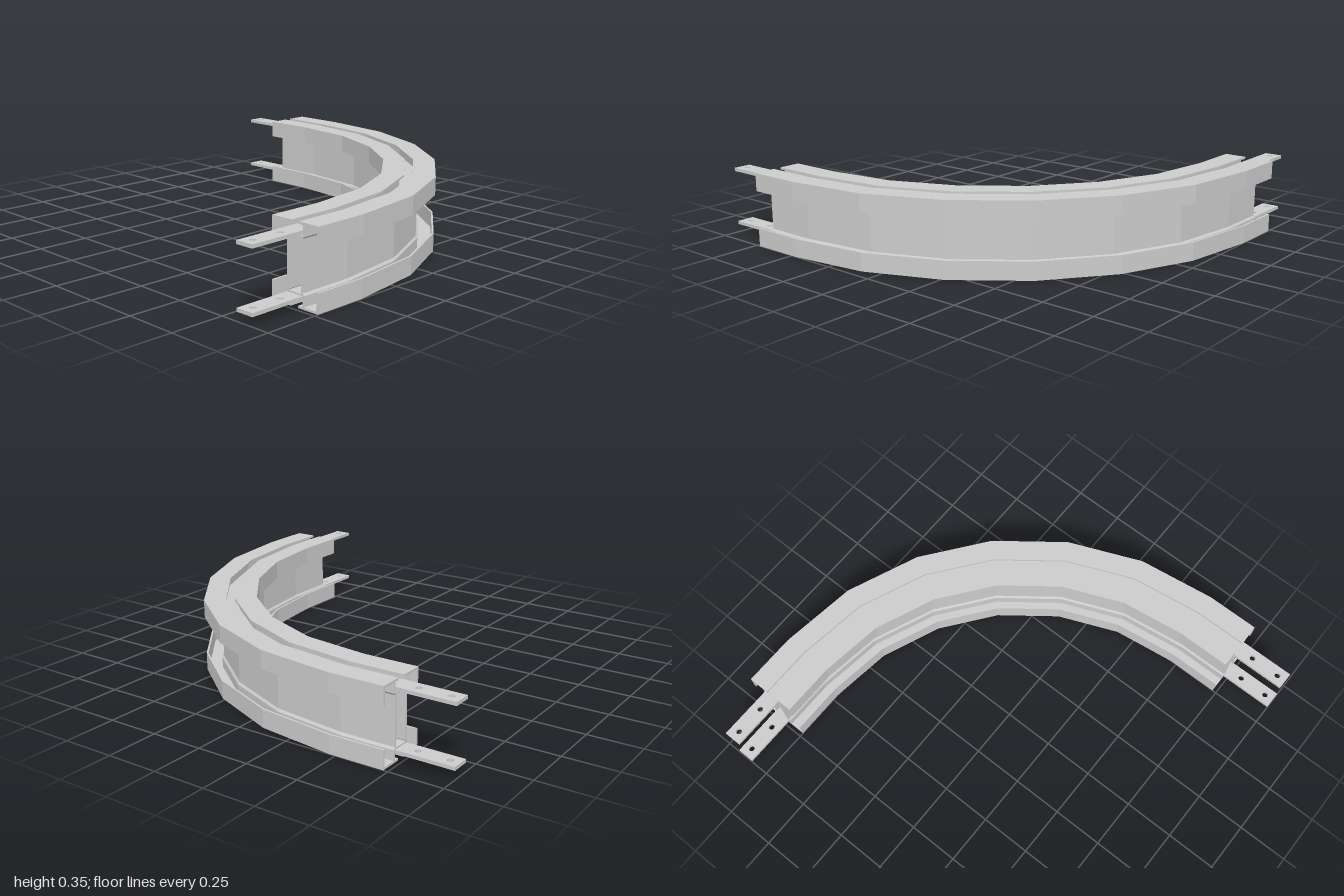
import * as THREE from 'three';

const HEIGHT = 0.352, MID = HEIGHT / 2;
const CENTRE = 0.47, RADIUS = 1.345, STRAIGHT = 0.26, STEPS = 6;
const grey = new THREE.MeshStandardMaterial({ color: 0xcccccc, flatShading: true });

// Stations along the beam: straight end, six-facet quarter bend, straight end
const stations = [{ angle: 0, dx: -STRAIGHT, dz: 0 }];
for (let i = 0; i <= STEPS; i++) stations.push({ angle: (i / STEPS) * Math.PI / 2, dx: 0, dz: 0 });
stations.push({ angle: Math.PI / 2, dx: 0, dz: STRAIGHT });

function place({ angle, dx, dz }, p) {
  const r = RADIUS + p.x;
  return [-CENTRE + r * Math.sin(angle) + dx, p.y, CENTRE - r * Math.cos(angle) + dz];
}

// Sweeps a closed section (x = outward offset, y = height) along the stations
function sweep(name, points) {
  const section = points.map(([u, v]) => new THREE.Vector2(u, v));
  if (THREE.ShapeUtils.area(section) < 0) section.reverse();
  const out = [];
  const tri = (a, b, c) => out.push(...a, ...b, ...c);
  for (let s = 0; s < stations.length - 1; s++) {
    section.forEach((p, j) => {
      const q = section[(j + 1) % section.length];
      const a = place(stations[s], p), b = place(stations[s], q);
      const c = place(stations[s + 1], q), d = place(stations[s + 1], p);
      tri(a, b, c);
      tri(a, c, d);
    });
  }
  // End caps
  const first = stations[0], last = stations[stations.length - 1];
  for (const [i, j, k] of THREE.ShapeUtils.triangulateShape(section, [])) {
    tri(place(last, section[i]), place(last, section[j]), place(last, section[k]));
    tri(place(first, section[k]), place(first, section[j]), place(first, section[i]));
  }
  const geometry = new THREE.BufferGeometry();
  geometry.setAttribute('position', new THREE.Float32BufferAttribute(out, 3));
  geometry.computeVertexNormals();
  const mesh = new THREE.Mesh(geometry, grey);
  mesh.name = name;
  return mesh;
}

// Flat joining plate with two bolt holes, lying along local x
function joiningPlate() {
  const shape = new THREE.Shape();
  const w = 0.0425;
  shape.moveTo(-1, -w).lineTo(-CENTRE, -w).lineTo(-CENTRE, w).lineTo(-1, w).closePath();
  for (const x of [-0.955, -0.81]) {
    shape.holes.push(new THREE.Path().absarc(x, 0, 0.014, 0, Math.PI * 2, true));
  }
  return new THREE.ExtrudeGeometry(shape, { depth: 0.016, bevelEnabled: false, curveSegments: 10 })
    .rotateX(Math.PI / 2);
}

export function createModel() {
  const model = new THREE.Group();
  model.name = 'curvedConveyorBeam';

  // Upper half of one side rail: slot edge, flange, hanging lip, bolt channel, web
  const outer = [
    [0.02, HEIGHT], [0.125, HEIGHT], [0.125, 0.266], [0.116, 0.266], [0.116, 0.342],
    [0.051, 0.342], [0.051, 0.296], [0.0425, 0.286],
  ];
  const inner = [[0.034, 0.286], [0.0425, 0.298], [0.0425, 0.342], [0.02, 0.342]];
  const flip = (list) => list.map(([u, v]) => [u, HEIGHT - v]).reverse();
  const rail = [...outer, ...flip(outer), ...flip(inner), ...inner];
  model.add(sweep('outerRail', rail));
  model.add(sweep('innerRail', rail.map(([u, v]) => [-u, v])));

  // Channel floors joining the two rails at top and bottom
  for (const [name, side] of [['upperChannelFloor', 1], ['lowerChannelFloor', -1]]) {
    const v0 = MID + side * 0.114, v1 = MID + side * 0.122;
    model.add(sweep(name, [[-0.04, v0], [0.04, v0], [0.04, v1], [-0.04, v1]]));
  }

  // Joining plates, upper and lower at both ends
  const plate = joiningPlate();
  for (const [level, y] of [['Upper', 0.321], ['Lower', 0.047]]) {
    const top = level === 'Upper' ? y : y + 0.008;
    const back = new THREE.Mesh(plate, grey);
    back.name = 'back' + level + 'Plate';
    back.position.set(0, top, CENTRE - RADIUS);
    const front = new THREE.Mesh(plate, grey);
    front.name = 'front' + level + 'Plate';
    front.rotation.y = Math.PI / 2;
    front.position.set(RADIUS - CENTRE, top, 0);
    model.add(back, front);
  }
  return model;
}
